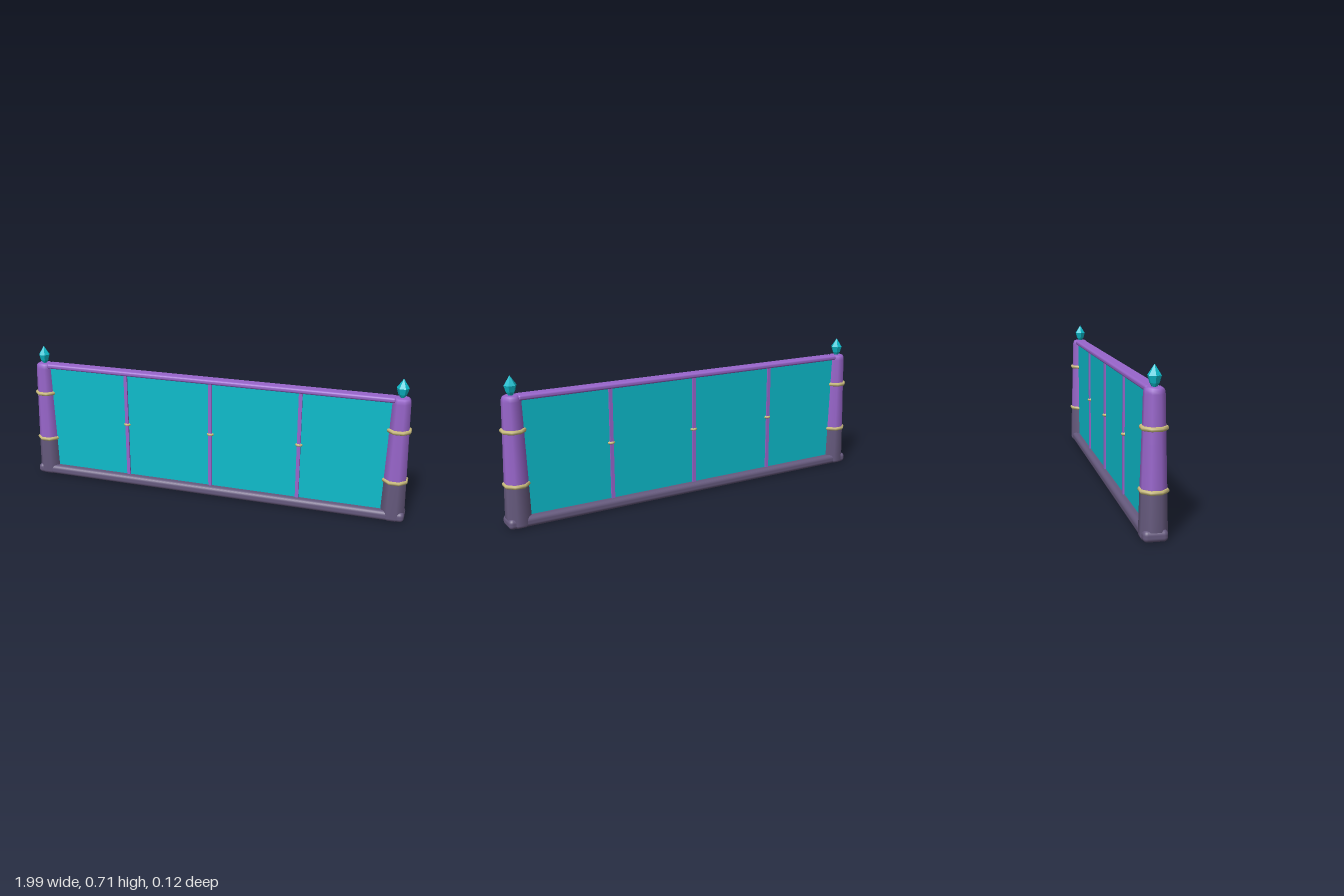
import * as THREE from 'three';
import { RoundedBoxGeometry } from 'three/addons/geometries/RoundedBoxGeometry.js';

export function createModel() {
  const model = new THREE.Group();
  const material = (name, color) => new THREE.MeshStandardMaterial({ name, color });
  const purple = material('purple frame', 0x9966cc);
  const slate = material('dark violet base', 0x665a7e);
  const gold = material('pale gold', 0xc8ba7c);
  const cyan = material('cyan crystal', 0x0cbccc);
  // flat facets on the gems come from unshared normals
  const faceted = (g) => {
    const f = g.toNonIndexed();
    f.computeVertexNormals();
    return f;
  };
  const add = (parent, name, geometry, mat, x = 0, y = 0, z = 0) => {
    const mesh = new THREE.Mesh(geometry, mat);
    mesh.name = name;
    mesh.position.set(x, y, z);
    parent.add(mesh);
    return mesh;
  };
  // eight-sided lathe with flats facing x and z; radii measured to the flats
  const octagon = (points) => {
    const k = 1 / Math.cos(Math.PI / 8);
    const g = new THREE.LatheGeometry(points.map(([r, y]) => new THREE.Vector2(r * k, y)), 8);
    return g.rotateY(Math.PI / 8);
  };

  // rails
  add(model, 'bottomRail', new RoundedBoxGeometry(1.99, 0.05, 0.106, 4, 0.02), slate, 0, 0.025);
  add(model, 'topRail', new RoundedBoxGeometry(1.82, 0.025, 0.064, 3, 0.01), purple, 0, 0.6125);

  // panel with its dividers and beads
  add(model, 'panel', new THREE.BoxGeometry(1.82, 0.57, 0.036), cyan, 0, 0.325);
  for (const x of [-0.46, 0, 0.46]) {
    add(model, 'divider', new THREE.BoxGeometry(0.018, 0.57, 0.052), purple, x, 0.325);
    const bead = add(model, 'bead', new THREE.SphereGeometry(1, 12, 8), gold, x, 0.333);
    bead.scale.set(0.023, 0.011, 0.035);
  }

  // tapered end posts
  for (const side of [-1, 1]) {
    const post = new THREE.Group();
    post.name = side > 0 ? 'leftPost' : 'rightPost';
    post.position.x = side * 0.935;
    model.add(post);

    add(post, 'postBase', octagon([[0, 0.002], [0.046, 0.002], [0.053, 0.007], [0.057, 0.018],
      [0.0525, 0.206]]), slate);
    add(post, 'postShaft', octagon([[0.0525, 0.206], [0.047, 0.4], [0.042, 0.598], [0.04, 0.612],
      [0.036, 0.62], [0.029, 0.625], [0, 0.625]]), purple);

    // gold collars
    for (const [y, r] of [[0.206, 0.06], [0.462, 0.056]]) {
      add(post, 'collar', octagon([[r - 0.016, -0.009], [r - 0.004, -0.009], [r, -0.003],
        [r, 0.003], [r - 0.004, 0.009], [r - 0.016, 0.009]]), gold, 0, y);
    }

    // crystal finial
    const gem = new THREE.LatheGeometry([[0, 0.62], [0.011, 0.624], [0.021, 0.64], [0.03, 0.67],
      [0, 0.715]].map(([r, y]) => new THREE.Vector2(r, y)), 6).rotateY(Math.PI / 6);
    add(post, 'finial', faceted(gem), cyan);
  }
  return model;
}
